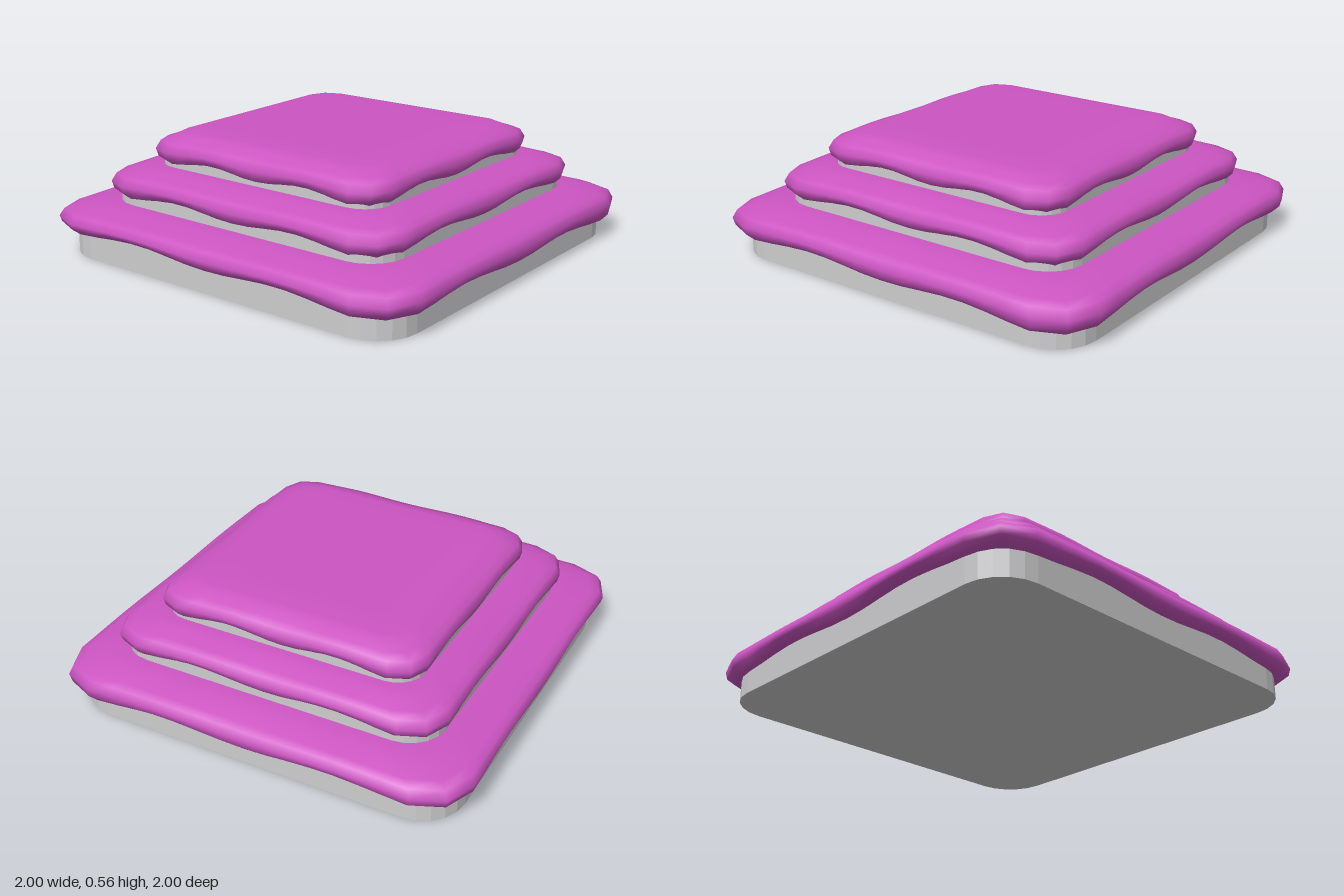
import * as THREE from 'three';

const icingMat = new THREE.MeshStandardMaterial({ color: 0xcc55c2 });
icingMat.name = 'purple icing';
const wallMat = new THREE.MeshStandardMaterial({ color: 0xcdcdcf });
wallMat.name = 'light grey';

// Rounded square as [x, z] points, counter-clockwise seen from above
function roundedSquare(half, radius, cornerSegs, sideSegs) {
  const pts = [], c = half - radius;
  for (let q = 0; q < 4; q++) {
    const cos = Math.round(Math.cos(q * Math.PI / 2)), sin = Math.round(Math.sin(q * Math.PI / 2));
    const add = (x, y) => pts.push([x * cos - y * sin, -(x * sin + y * cos)]);
    for (let i = 0; i < sideSegs; i++) add(half, -c + 2 * c * i / sideSegs);
    for (let i = 0; i < cornerSegs; i++) {
      const a = i / cornerSegs * Math.PI / 2;
      add(c + radius * Math.cos(a), c + radius * Math.sin(a));
    }
  }
  return pts;
}

// Straight-sided tier body
function wall(half, radius, y0, y1) {
  const shape = new THREE.Shape(roundedSquare(half, radius, 5, 1).map(([x, z]) => new THREE.Vector2(x, -z)));
  const geo = new THREE.ExtrudeGeometry(shape, { depth: y1 - y0, bevelEnabled: false });
  geo.rotateX(-Math.PI / 2).translate(0, y0, 0);
  return new THREE.Mesh(geo, wallMat);
}

// Soft slab whose lower edge rises and falls along each side
function icing({ half, radius, top, low, wave, tilt, shoulder }) {
  const outline = roundedSquare(half, radius, 2, 14);
  const mid = (top + low) / 2 - 0.01;
  // inset, height, share of the wave
  const profile = [
    [0.12, low + 0.025, 1], [0.065, low + 0.004, 1], [0.035, low + 0.002, 1], [0.008, low + 0.025, 0.8],
    [0, mid, 0.4], [0.018, mid + 0.035, 0.25], [0.055, top - 0.027, 0.12],
    [shoulder * 0.65, top - 0.009, 0], [shoulder, top, 0], [shoulder + 0.12, top, 0],
  ];
  const pos = [], idx = [], n = outline.length;
  for (const [inset, y, share] of profile) {
    const s = (half - inset) / half;
    for (const [x, z] of outline) {
      const t = Math.min(Math.abs(x), Math.abs(z)) / half;
      const dy = -wave * Math.cos(t * Math.PI * 2 / 0.85) - tilt * (x + z) - 0.008 * t;
      pos.push(x * s, y + dy * share, z * s);
    }
  }
  for (let r = 0; r < profile.length - 1; r++) {
    for (let i = 0; i < n; i++) {
      const a = r * n + i, b = r * n + (i + 1) % n;
      idx.push(a, b, b + n, a, b + n, a + n);
    }
  }
  // Flat centre
  const centre = pos.length / 3, last = centre - n;
  pos.push(0, top, 0);
  for (let i = 0; i < n; i++) idx.push(last + i, last + (i + 1) % n, centre);
  const geo = new THREE.BufferGeometry();
  geo.setAttribute('position', new THREE.Float32BufferAttribute(pos, 3));
  geo.setIndex(idx);
  geo.computeVertexNormals();
  return new THREE.Mesh(geo, icingMat);
}

export function createModel() {
  const model = new THREE.Group();
  model.name = 'tieredCake';
  const tiers = [
    { name: 'bottom', wall: [0.94, 0.2, 0, 0.19],
      icing: { half: 1, radius: 0.2, top: 0.245, low: 0.118, wave: 0.013, tilt: 0.01, shoulder: 0.2 } },
    { name: 'middle', wall: [0.785, 0.17, 0.2, 0.36],
      icing: { half: 0.815, radius: 0.165, top: 0.41, low: 0.287, wave: 0.014, tilt: 0, shoulder: 0.17 } },
    { name: 'top', wall: [0.63, 0.13, 0.36, 0.51],
      icing: { half: 0.657, radius: 0.13, top: 0.562, low: 0.435, wave: 0.014, tilt: 0, shoulder: 0.14 } },
  ];
  for (const t of tiers) {
    const body = wall(...t.wall);
    body.name = t.name + 'TierWall';
    const cover = icing(t.icing);
    cover.name = t.name + 'TierIcing';
    model.add(body, cover);
  }
  return model;
}
